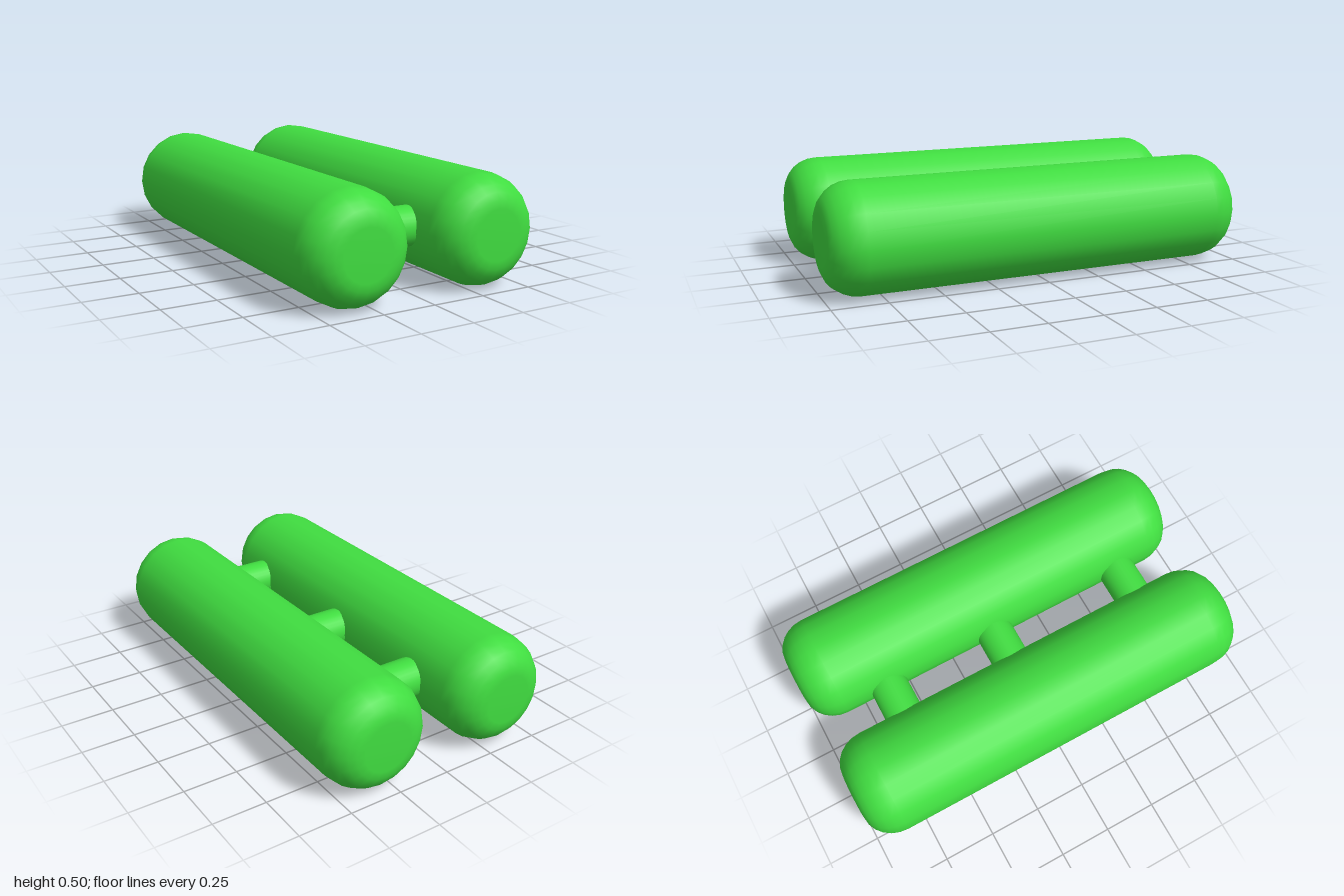
import * as THREE from 'three';

export function createModel() {
  const model = new THREE.Group();
  const green = new THREE.MeshStandardMaterial({ color: 0x40dd40 });
  green.name = 'bright green';

  const radius = 0.252, halfLength = 1, centerY = 0.252;
  const capRadius = 0.115, bevelLength = 0.155, bevelSteps = 6;

  // Half profile of a round bar with rounded ends and flat caps
  const end = [];
  for (let i = 0; i <= bevelSteps; i++) {
    const a = (i / bevelSteps) * Math.PI / 2;
    end.push(new THREE.Vector2(
      capRadius + (radius - capRadius) * Math.sin(a),
      halfLength - bevelLength + bevelLength * Math.cos(a)
    ));
  }
  const profile = [
    new THREE.Vector2(0, -halfLength),
    ...end.map(p => new THREE.Vector2(p.x, -p.y)),
    ...end.slice().reverse(),
    new THREE.Vector2(0, halfLength),
  ];
  const barGeometry = new THREE.LatheGeometry(profile, 20).rotateX(Math.PI / 2);

  // Two long parallel bars
  for (const side of [-1, 1]) {
    const bar = new THREE.Mesh(barGeometry, green);
    bar.name = side > 0 ? 'leftBar' : 'rightBar';
    bar.position.set(side * 0.324, centerY, 0);
    model.add(bar);
  }

  // Three short rods joining the bars
  const rodGeometry = new THREE.CylinderGeometry(0.092, 0.092, 0.5, 32, 1, true).rotateZ(Math.PI / 2);
  [-0.615, -0.035, 0.665].forEach((z, i) => {
    const rod = new THREE.Mesh(rodGeometry, green);
    rod.name = ['backRod', 'middleRod', 'frontRod'][i];
    rod.position.set(0, 0.254, z);
    model.add(rod);
  });

  return model;
}
